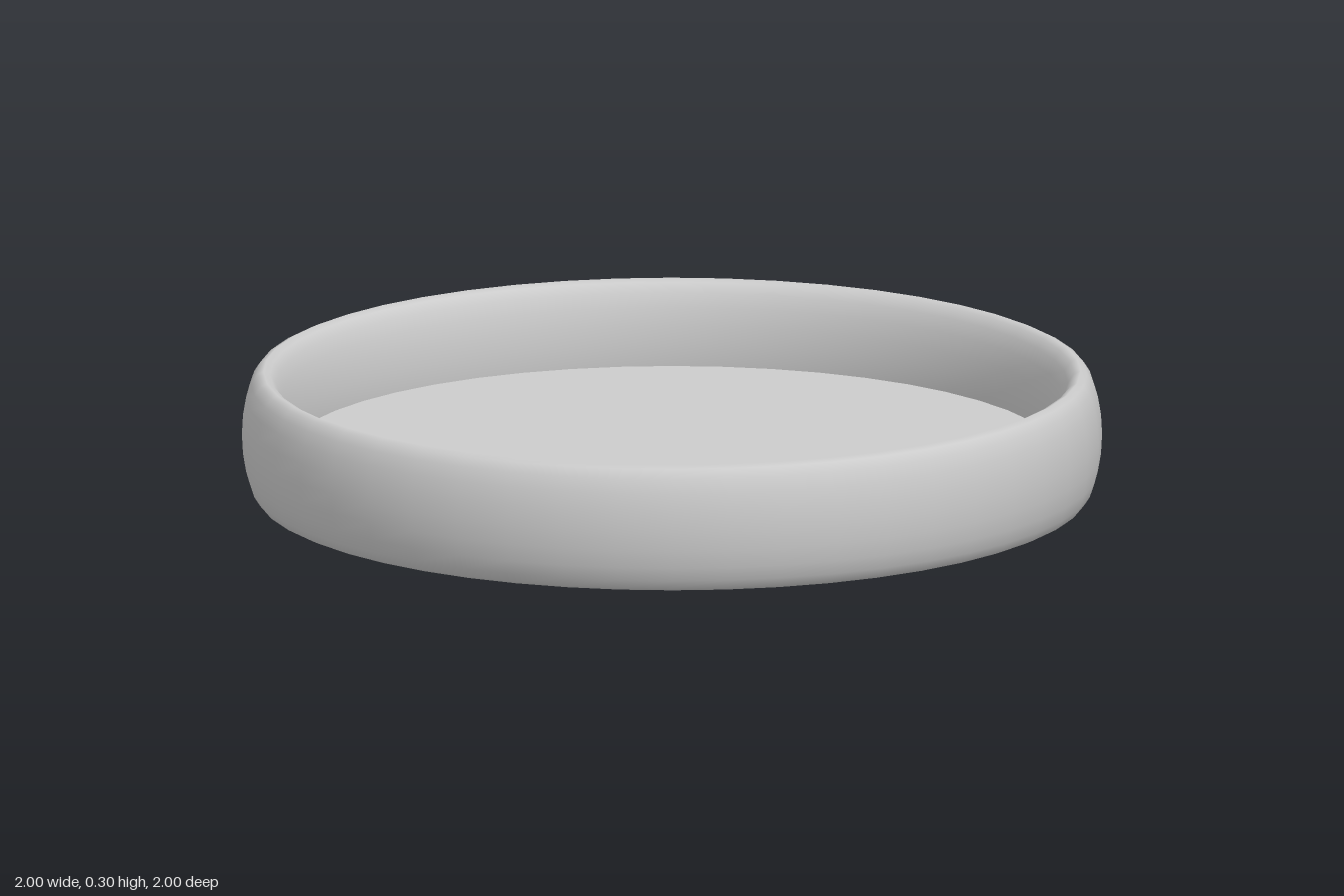
import * as THREE from 'three';

const SIDES = 48;

export function createModel() {
  const model = new THREE.Group();
  model.name = 'tray';
  const material = new THREE.MeshStandardMaterial({ color: 0xcccccc });

  // Rim: a ring with a tall oval section
  const rimGeometry = new THREE.TorusGeometry(0.95, 0.05, 20, SIDES);
  rimGeometry.rotateX(-Math.PI / 2);
  rimGeometry.scale(1, 3, 1);
  const rim = new THREE.Mesh(rimGeometry, material);
  rim.name = 'rim';
  rim.position.y = 0.15;
  model.add(rim);

  // Base: a flat disc set inside the rim, just clear of the ground
  const base = new THREE.Mesh(new THREE.CylinderGeometry(0.925, 0.925, 0.08, SIDES), material);
  base.name = 'base';
  base.position.y = 0.06;
  model.add(base);

  return model;
}
